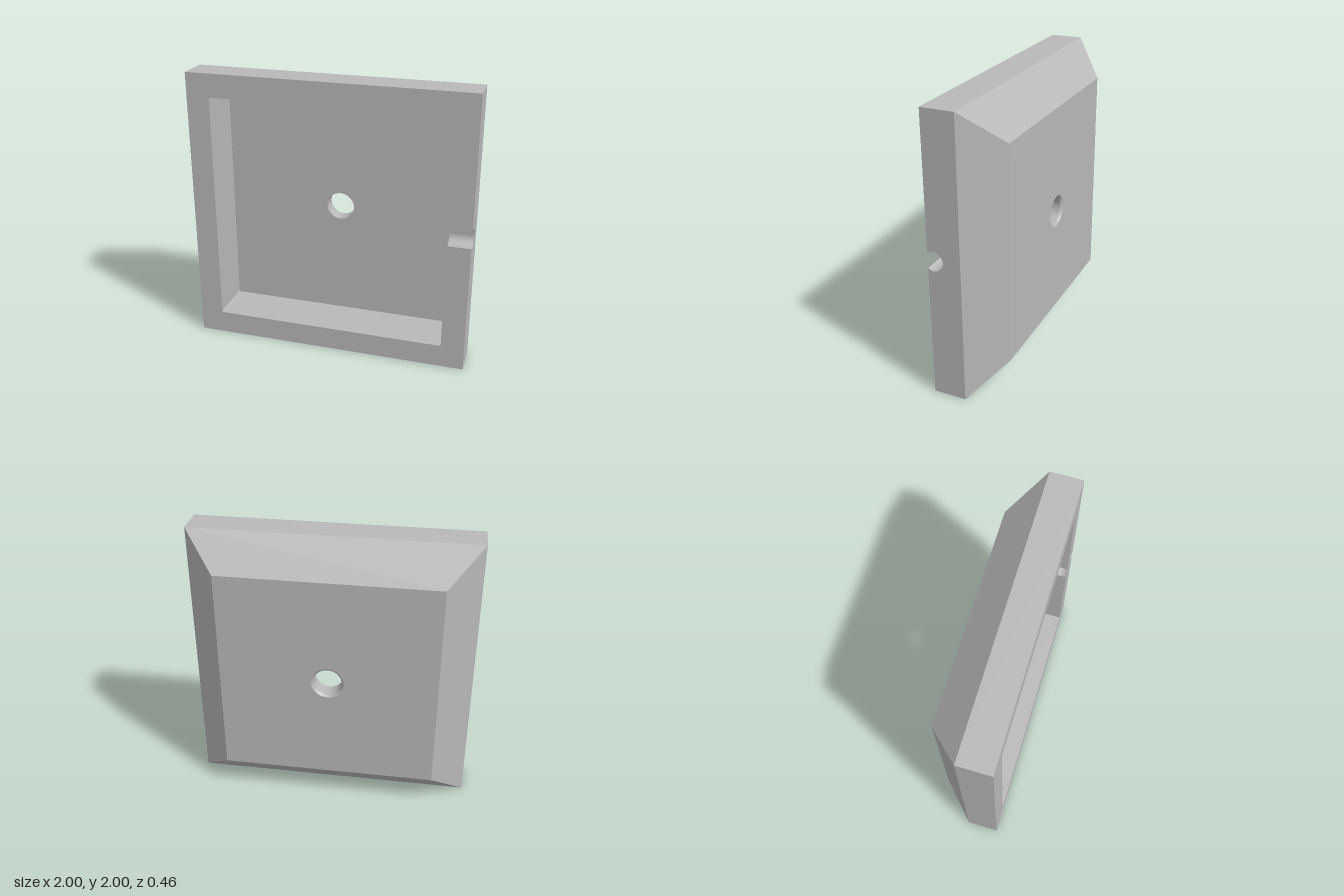
import * as THREE from 'three';

const F = 0.23, B = -0.23;            // front and back planes
const P = 0.835, FLOOR = -0.11;       // pocket half size and floor depth
const BACK = 0.767;                   // half size of the back face
const NZ = 0.19, NR = 0.068;          // notch centre and radius
const HOLE = 0.1, SINK = 0.115;       // bore and countersink radii

const v2 = (x, y) => new THREE.Vector2(x, y);

// Strip between two outlines at two depths; counter-clockwise outlines face outward
function loft(a, za, b, zb, smooth = false) {
  const pos = [], idx = [];
  a.forEach((p, i) => pos.push(p.x, p.y, za, b[i].x, b[i].y, zb));
  for (let i = 0; i < a.length - 1; i++) {
    const k = i * 2;
    idx.push(k, k + 1, k + 3, k, k + 3, k + 2);
  }
  let g = new THREE.BufferGeometry();
  g.setAttribute('position', new THREE.Float32BufferAttribute(pos, 3));
  g.setIndex(idx);
  if (!smooth) g = g.toNonIndexed();
  g.computeVertexNormals();
  return g;
}

// Flat face, optionally pierced by a round hole
function plate(points, holeRadius) {
  const s = new THREE.Shape(points);
  if (holeRadius) s.holes.push(new THREE.Path(circle(holeRadius).slice(0, -1)));
  return new THREE.ShapeGeometry(s);
}

// Closed clockwise circle
function circle(r, n = 48) {
  return Array.from({ length: n + 1 }, (_, i) => {
    const t = -i / n * Math.PI * 2;
    return v2(r * Math.cos(t), r * Math.sin(t));
  });
}

// Counter-clockwise square, starting at the upper right
const square = h => [v2(h, h), v2(-h, h), v2(-h, -h), v2(h, -h)];

// Clockwise pocket outline with tiny corner radii, open on the +x side
function pocketOutline(r = 0.01, n = 4) {
  const pts = [];
  for (let k = 0; k < 4; k++) {
    const mid = -Math.PI / 4 - k * Math.PI / 2;
    const cx = Math.sign(Math.cos(mid)) * (P - r), cy = Math.sign(Math.sin(mid)) * (P - r);
    for (let i = 0; i <= n; i++) {
      const t = -(k + i / n) * Math.PI / 2;
      pts.push(v2(cx + r * Math.cos(t), cy + r * Math.sin(t)));
    }
  }
  return pts;
}

// Notch arc as (z, y), from its upper lip round to its lower lip
function notchArc(n = 32) {
  const a0 = Math.acos((F - NZ) / NR);
  return Array.from({ length: n + 1 }, (_, i) => {
    const t = a0 + (2 * Math.PI - 2 * a0) * i / n;
    return v2(NZ + NR * Math.cos(t), NR * Math.sin(t));
  });
}

// Side wall with the notch cut out; dir is +1 facing +x, -1 facing -x
function notchedWall(x, zBack, h, dir) {
  const pts = [v2(zBack, -h), v2(zBack, h), v2(F, h), ...notchArc(), v2(F, -h)];
  return plate(pts.map(p => v2(-dir * p.x, p.y))).rotateY(dir * Math.PI / 2).translate(x, 0, 0);
}

export function createModel() {
  const grey = new THREE.MeshStandardMaterial({ color: 0xb8b8b8 });
  grey.name = 'grey';
  const model = new THREE.Group();
  model.name = 'squareHousing';
  const body = new THREE.Group();
  body.name = 'body';
  body.position.y = 1;
  model.add(body);
  const add = (name, geometry) => {
    const m = new THREE.Mesh(geometry, grey);
    m.name = name;
    body.add(m);
  };

  const pocket = pocketOutline();
  const lip = notchArc()[0].y;

  // Front rim, interrupted by the notch
  add('frontRim', plate([v2(1, lip), ...square(1), v2(1, -lip), v2(P, -lip), ...pocket, v2(P, lip)]).translate(0, 0, F));

  // Outer sides
  add('outerSides', loft(square(1), F, square(1), 0));
  add('notchedOuterSide', notchedWall(1, 0, 1, 1));

  // Pocket walls and floor
  add('pocketWalls', loft(pocket, F, pocket, FLOOR));
  add('notchedPocketWall', notchedWall(P, FLOOR, P - 0.01, -1));
  add('pocketFloor', plate(pocket, HOLE).translate(0, 0, FLOOR));

  // Cable notch
  const arc = notchArc().map(p => v2(-p.x, p.y));
  add('notch', loft(arc, 1, arc, P, true).rotateY(Math.PI / 2));

  // Sloped back edges and back face
  const ring = h => [...square(h), v2(h, h)];
  add('backSlopes', loft(ring(1), 0, ring(BACK), B));
  add('backFace', plate(square(BACK), SINK).rotateY(Math.PI).translate(0, 0, B));

  // Centre hole with a small countersink at the back
  const sinkZ = B + SINK - HOLE;
  add('bore', loft(circle(HOLE), FLOOR, circle(HOLE), sinkZ, true));
  add('countersink', loft(circle(HOLE), sinkZ, circle(SINK), B, true));

  return model;
}
